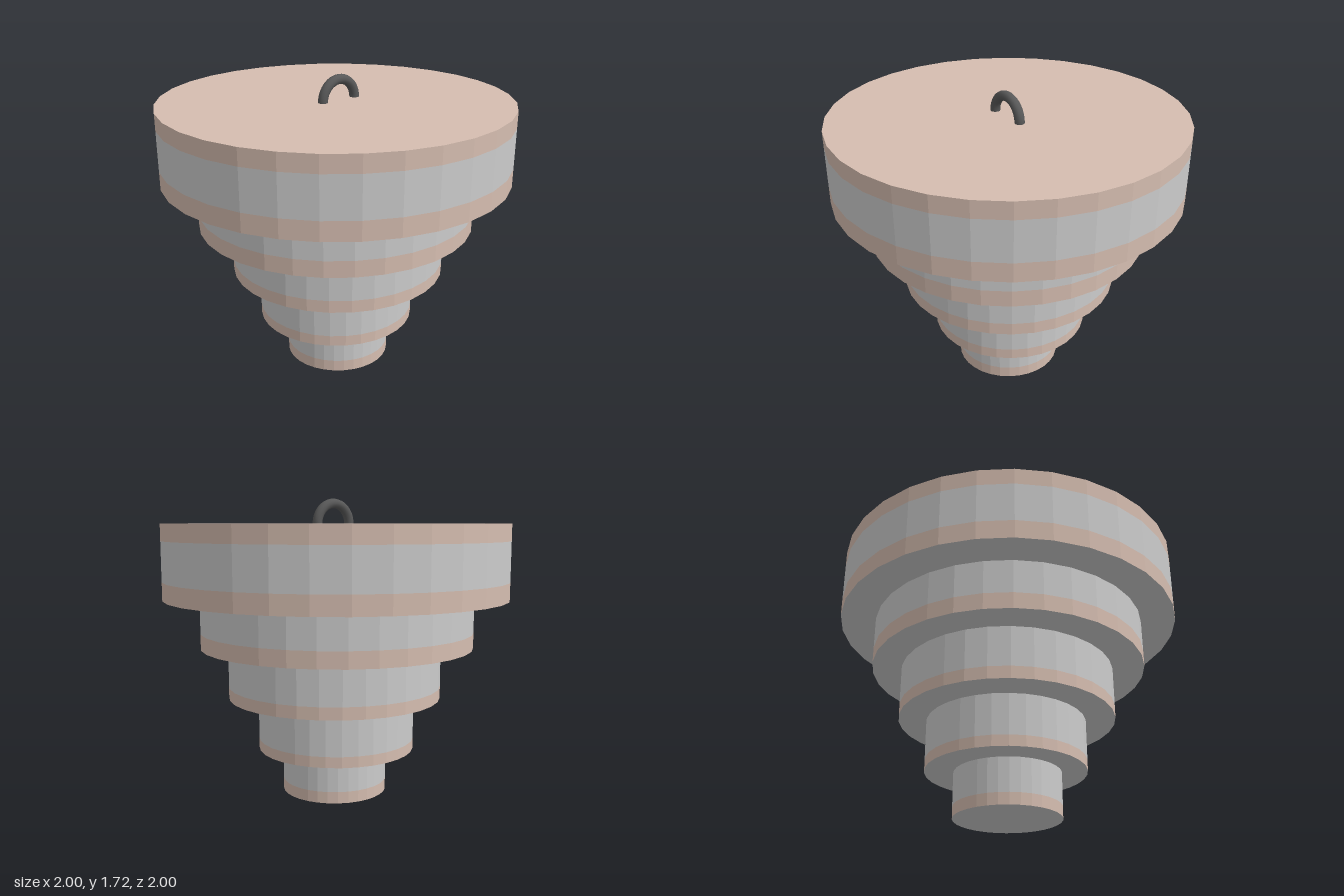
import * as THREE from 'three';

const SIDES = 32;
const grey = new THREE.MeshStandardMaterial({ color: 0xcccccc, flatShading: true });
const pink = new THREE.MeshStandardMaterial({ color: 0xd5bdb0, flatShading: true });
const dark = new THREE.MeshStandardMaterial({ color: 0x585858, side: THREE.DoubleSide });

// Open ring of wall between two heights
function wall(name, r, y0, y1, material) {
  const mesh = new THREE.Mesh(new THREE.CylinderGeometry(r, r, y1 - y0, SIDES, 1, true), material);
  mesh.name = name;
  mesh.position.y = (y0 + y1) / 2;
  return mesh;
}

// Flat disc facing up or down
function cap(name, r, y, up, material) {
  const geometry = new THREE.CircleGeometry(r, SIDES).rotateX(up ? -Math.PI / 2 : Math.PI / 2);
  const mesh = new THREE.Mesh(geometry, material);
  mesh.name = name;
  mesh.position.y = y;
  return mesh;
}

// One drum: pink lower band, grey wall, optional pink upper band and lid
function tier({ name, r, x, z, y0, y1, low, high }) {
  const g = new THREE.Group();
  g.name = name;
  g.position.set(x, 0, z);
  g.add(wall('lowerBand', r, y0, low, pink));
  g.add(wall('drumWall', r, low, high ?? y1, grey));
  if (high) g.add(wall('upperBand', r, high, y1, pink));
  g.add(cap('underside', r, y0, false, grey));
  g.add(cap('lid', r, y1, true, high ? pink : grey));
  return g;
}

export function createModel() {
  const model = new THREE.Group();
  model.name = 'tieredPendant';

  // Five slightly off-centre drums, widest at the top
  const tiers = [
    { name: 'topTier', r: 1, x: 0, z: 0, y0: 1.153, y1: 1.58, low: 1.258, high: 1.485 },
    { name: 'secondTier', r: 0.798, x: 0, z: 0.003, y0: 0.868, y1: 1.153, low: 0.96 },
    { name: 'thirdTier', r: 0.624, x: 0.002, z: -0.013, y0: 0.568, y1: 0.868, low: 0.638 },
    { name: 'fourthTier', r: 0.459, x: -0.008, z: -0.008, y0: 0.26, y1: 0.554, low: 0.322 },
    { name: 'bottomTier', r: 0.306, x: 0.005, z: -0.01, y0: 0, y1: 0.26, low: 0.067 },
  ];
  for (const t of tiers) model.add(tier(t));

  // Half-ring hanging loop standing on the lid
  const loop = new THREE.Mesh(new THREE.TorusGeometry(0.115, 0.028, 12, 24, Math.PI), dark);
  loop.name = 'hangingLoop';
  loop.rotation.y = Math.PI / 2;
  loop.position.set(0.013, 1.58, -0.011);
  model.add(loop);

  return model;
}
